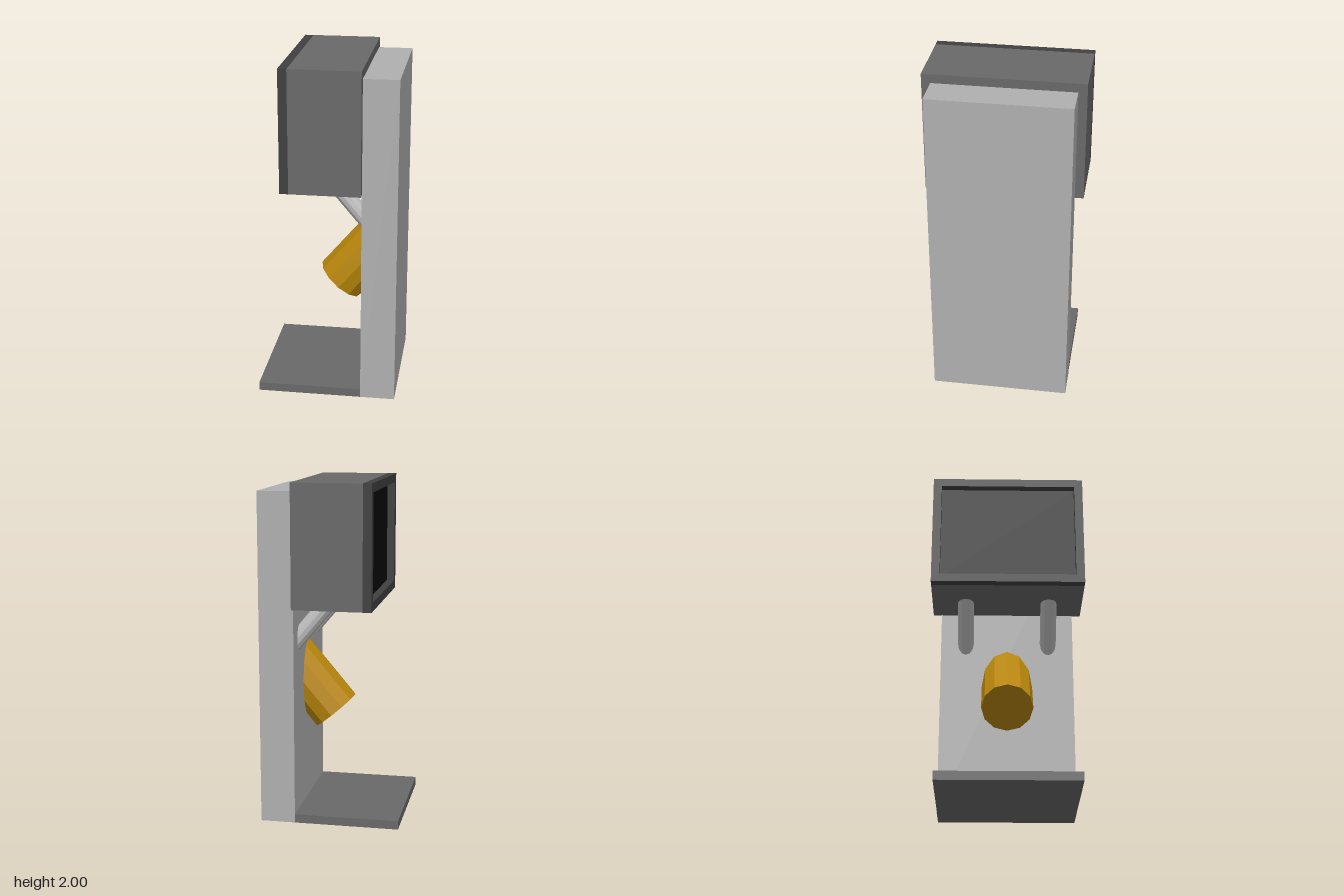
import * as THREE from 'three';

const mat = (name, color, extra = {}) => {
  const m = new THREE.MeshStandardMaterial({ color, ...extra });
  m.name = name;
  return m;
};

export function createModel() {
  const group = new THREE.Group();
  const lightGrey = mat('lightGrey', 0xb0b0b0);
  const darkGrey = mat('darkGrey', 0x696969);
  const charcoal = mat('charcoal', 0x404040);
  const black = mat('black', 0x0a0a0a);
  const silver = mat('silver', 0xc0c0c0, { flatShading: true });
  const gold = mat('gold', 0xb8860b, { flatShading: true });

  const add = (name, geometry, material) => {
    const mesh = new THREE.Mesh(geometry, material);
    mesh.name = name;
    group.add(mesh);
    return mesh;
  };
  // Box given by its two extents on x and y, centred on z
  const box = (name, x0, x1, y0, y1, halfZ, material) => {
    const g = new THREE.BoxGeometry(x1 - x0, y1 - y0, halfZ * 2);
    g.translate((x0 + x1) / 2, (y0 + y1) / 2, 0);
    return add(name, g, material);
  };

  // Stand
  box('basePlate', -0.41, 0.405, 0, 0.051, 0.407, darkGrey);
  box('column', 0.204, 0.408, 0.001, 1.948, 0.409, lightGrey);

  // Display housing
  box('housing', -0.205, 0.205, 1.285, 2, 0.46, darkGrey);
  box('screen', -0.21, -0.204, 1.33, 1.955, 0.415, black);

  // Raised frame round the screen
  const frame = new THREE.Shape();
  const rect = (path, w, h) => path.moveTo(-w, -h).lineTo(w, -h).lineTo(w, h).lineTo(-w, h).closePath();
  rect(frame, 0.46, 0.3575);
  const opening = new THREE.Path();
  rect(opening, 0.409, 0.3065);
  frame.holes.push(opening);
  const frameGeo = new THREE.ExtrudeGeometry(frame, { depth: 0.051, bevelEnabled: false });
  frameGeo.rotateY(-Math.PI / 2);
  frameGeo.translate(-0.205, 1.6425, 0);
  add('screenFrame', frameGeo, charcoal);

  const tilt = 0.7;

  // Pair of slanted pipes running from the housing into the column
  for (const side of [1, -1]) {
    const g = new THREE.CylinderGeometry(0.05, 0.05, 0.52, 12);
    g.rotateZ(tilt);
    g.translate(0.115, 1.196, side * 0.255);
    add(side > 0 ? 'leftPipe' : 'rightPipe', g, silver);
  }

  // Slanted spout, with its upper end cut parallel to the column
  const spout = new THREE.CylinderGeometry(0.155, 0.155, 1, 12);
  spout.translate(0, 0.5, 0);
  spout.rotateZ(-tilt);
  spout.translate(0.035, 0.593, 0);
  const p = spout.attributes.position;
  for (let i = 0; i < p.count; i++) {
    if (p.getX(i) < 0.35) continue;
    const back = p.getX(i) - 0.3;
    p.setXY(i, 0.3, p.getY(i) - back / Math.tan(tilt));
  }
  spout.computeVertexNormals();
  add('spout', spout, gold);

  return group;
}
